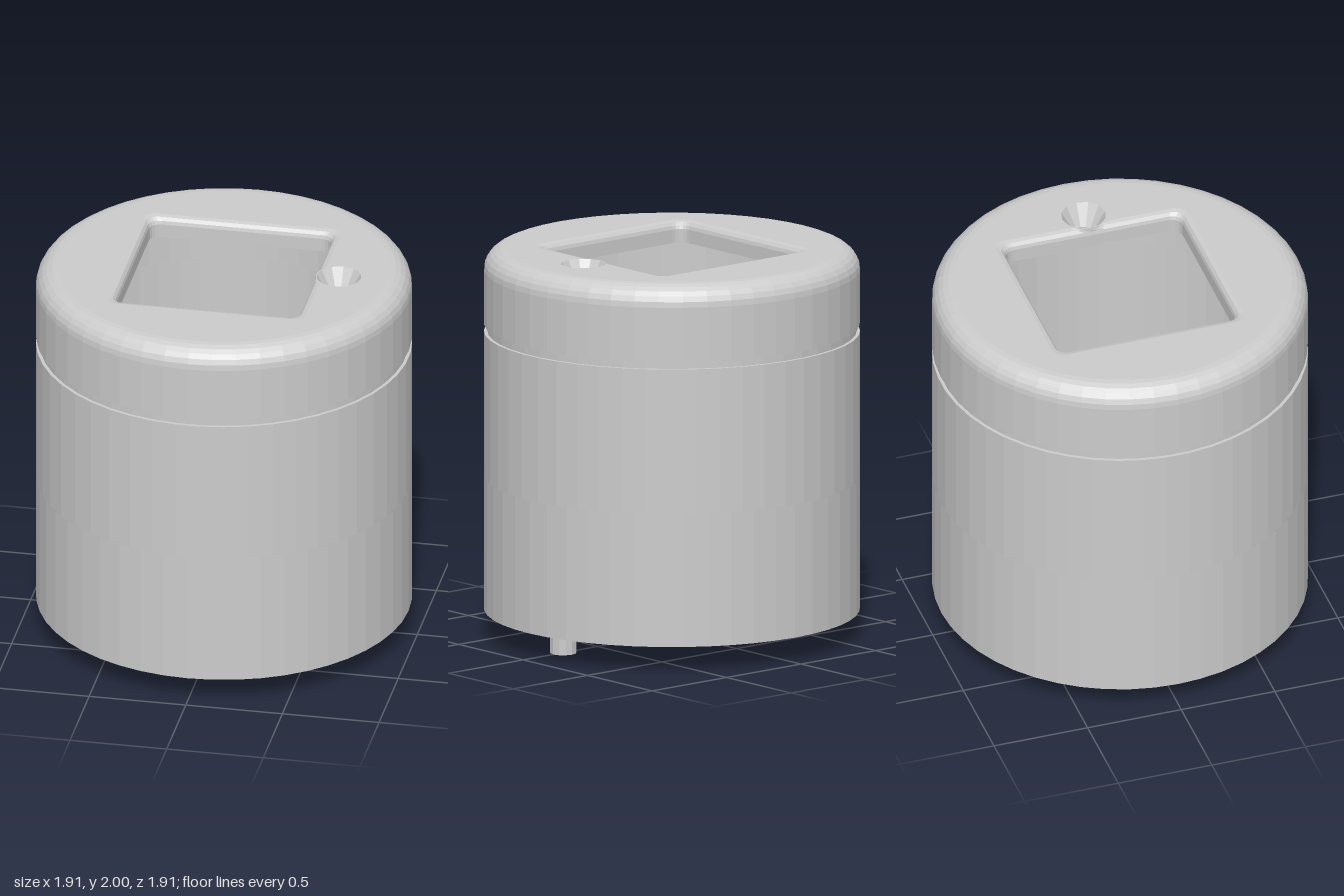
import * as THREE from 'three';

const SIDES = 48;
const V = (x, y) => new THREE.Vector2(x, y);

export function createModel() {
  const model = new THREE.Group();
  const mat = new THREE.MeshStandardMaterial({ color: 0xcccccc, flatShading: true, side: THREE.DoubleSide });
  const add = (name, geo, x = 0, y = 0, z = 0) => {
    const mesh = new THREE.Mesh(geo, mat);
    mesh.name = name;
    mesh.position.set(x, y, z);
    model.add(mesh);
    return mesh;
  };

  // Plan outlines are drawn as (x, z) points
  const circle = (r, n = SIDES, cx = 0, cz = 0) =>
    Array.from({ length: n }, (_, i) => {
      const a = (i / n) * Math.PI * 2;
      return V(cx + r * Math.sin(a), cz + r * Math.cos(a));
    });
  const plan = (outline, holes) => {
    const s = new THREE.Shape(outline);
    s.holes = holes.map((h) => new THREE.Path(h));
    return s;
  };
  const rect = (x0, x1, z0, z1) => [V(x0, z0), V(x1, z0), V(x1, z1), V(x0, z1)];
  const turned = (pts) => pts.map((p) => V(-p.x, -p.y));
  const sheet = (shape) => new THREE.ShapeGeometry(shape).rotateX(Math.PI / 2);
  const slab = (shape, depth) =>
    new THREE.ExtrudeGeometry(shape, { depth, bevelEnabled: false }).rotateX(Math.PI / 2);

  // Floor slots; each has a twin turned half a circle
  const bump = Array.from({ length: 7 }, (_, i) => {
    const a = (i / 6) * Math.PI;
    return V(0.15 + 0.05 * Math.cos(a), 0.57 - 0.05 * Math.sin(a));
  });
  const longSlot = [V(-0.27, 0.405), V(0.61, 0.405), V(0.61, 0.57), ...bump, V(-0.27, 0.57)];
  const shortSlot = rect(0.4, 0.49, -0.59, -0.36);
  const notchedSlot = [
    V(-0.34, 0.075), V(0.34, 0.075), V(0.34, 0.157), V(-0.1, 0.157),
    V(-0.1, 0.285), V(-0.245, 0.285), V(-0.245, 0.157), V(-0.34, 0.157),
  ];
  const centreSlots = [notchedSlot, turned(notchedSlot)];
  const outerSlots = [longSlot, turned(longSlot), shortSlot, turned(shortSlot)];
  add('floor', slab(plan(circle(0.87), [...centreSlots, ...outerSlots]), 0.12), 0, 0.25, 0);
  add('floorPlate', slab(plan(rect(-0.345, 0.345, -0.4, 0.4), centreSlots), 0.03), 0, 0.28, 0);

  // Blocks on the floor
  add('leftRail', new THREE.BoxGeometry(0.16, 0.12, 0.96), -0.425, 0.31, 0);
  add('rightRail', new THREE.BoxGeometry(0.15, 0.08, 0.67), 0.425, 0.29, 0);

  // Outer walls, lower and upper, with a recessed neck under the cap
  const lathe = (pts, n = SIDES, start = 0) =>
    new THREE.LatheGeometry(pts.map(([r, y]) => V(r, y)), n, start);
  add('lowerWall', lathe([[0.86, 0.82], [0.86, 0.13], [0.955, 0.13], [0.955, 0.82]]));
  add('upperWall', lathe(
    [[0.86, 1.61], [0.86, 0.82], [0.955, 0.82], [0.955, 1.57], [0.938, 1.57], [0.938, 1.61]],
    SIDES, Math.PI / SIDES));

  // Cap side with a rounded top edge
  const capProfile = [[0.86, 1.89], [0.86, 1.61], [0.955, 1.61]];
  for (let i = 0; i <= 6; i++) {
    const a = (i / 6) * Math.PI / 2;
    capProfile.push([0.845 + 0.11 * Math.cos(a), 1.89 + 0.11 * Math.sin(a)]);
  }
  add('capSide', lathe(capProfile));

  // Rounded square opening, its lip dented to clear the conical hole
  const BX = 0.595, BR = 0.115;
  const opening = (h) => {
    const r = 0.06, pts = [];
    for (let k = 0; k < 4; k++) {
      const turn = (p) => p.rotateAround(V(0, 0), k * Math.PI / 2);
      for (let i = 0; i < 24; i++) pts.push(turn(V(h, -(h - r) + (i / 24) * 2 * (h - r))));
      for (let i = 0; i < 5; i++) {
        const a = (i / 5) * Math.PI / 2;
        pts.push(turn(V(h - r + r * Math.cos(a), h - r + r * Math.sin(a))));
      }
    }
    for (const p of pts) {
      if (p.x > 0 && Math.abs(p.y) < BR) {
        p.x = Math.min(p.x, BX - 0.004 - Math.sqrt(BR * BR - p.y * p.y));
      }
    }
    return pts;
  };
  const lip = [[0.472, 1.89], [0.472, 1.96], [0.477, 1.978], [0.49, 1.994], [0.512, 2]];
  const loops = lip.map(([h]) => opening(h));
  const n = loops[0].length, pos = [], idx = [];
  loops.forEach((loop, j) => loop.forEach((p, i) => {
    pos.push(p.x, lip[j][1], p.y);
    if (j < loops.length - 1) {
      const a = j * n + i, b = j * n + (i + 1) % n;
      idx.push(a, b, a + n, b, b + n, a + n);
    }
  }));
  const lipGeo = new THREE.BufferGeometry();
  lipGeo.setAttribute('position', new THREE.Float32BufferAttribute(pos, 3));
  lipGeo.setIndex(idx);
  lipGeo.computeVertexNormals();
  add('openingLip', lipGeo);

  // Cap roof: upper and lower faces around the opening and the conical hole
  const top = sheet(plan(circle(0.845), [loops[loops.length - 1], circle(BR, 12, BX)]));
  const topIndex = top.index.array;
  for (let i = 0; i < topIndex.length; i += 3) {
    [topIndex[i], topIndex[i + 1]] = [topIndex[i + 1], topIndex[i]];
  }
  top.computeVertexNormals();
  add('capTop', top, 0, 2, 0);
  add('capUnderside', sheet(plan(circle(0.86), [loops[0], circle(0.05, 12, BX)])), 0, 1.89, 0);
  add('conicalHole', lathe([[BR, 0.11], [0.05, 0]], 12), BX, 1.89, 0);

  // Two feet
  for (const x of [-0.65, 0.73]) {
    add('foot', new THREE.CylinderGeometry(0.068, 0.068, 0.14, 12), x, 0.07, 0);
  }
  return model;
}
